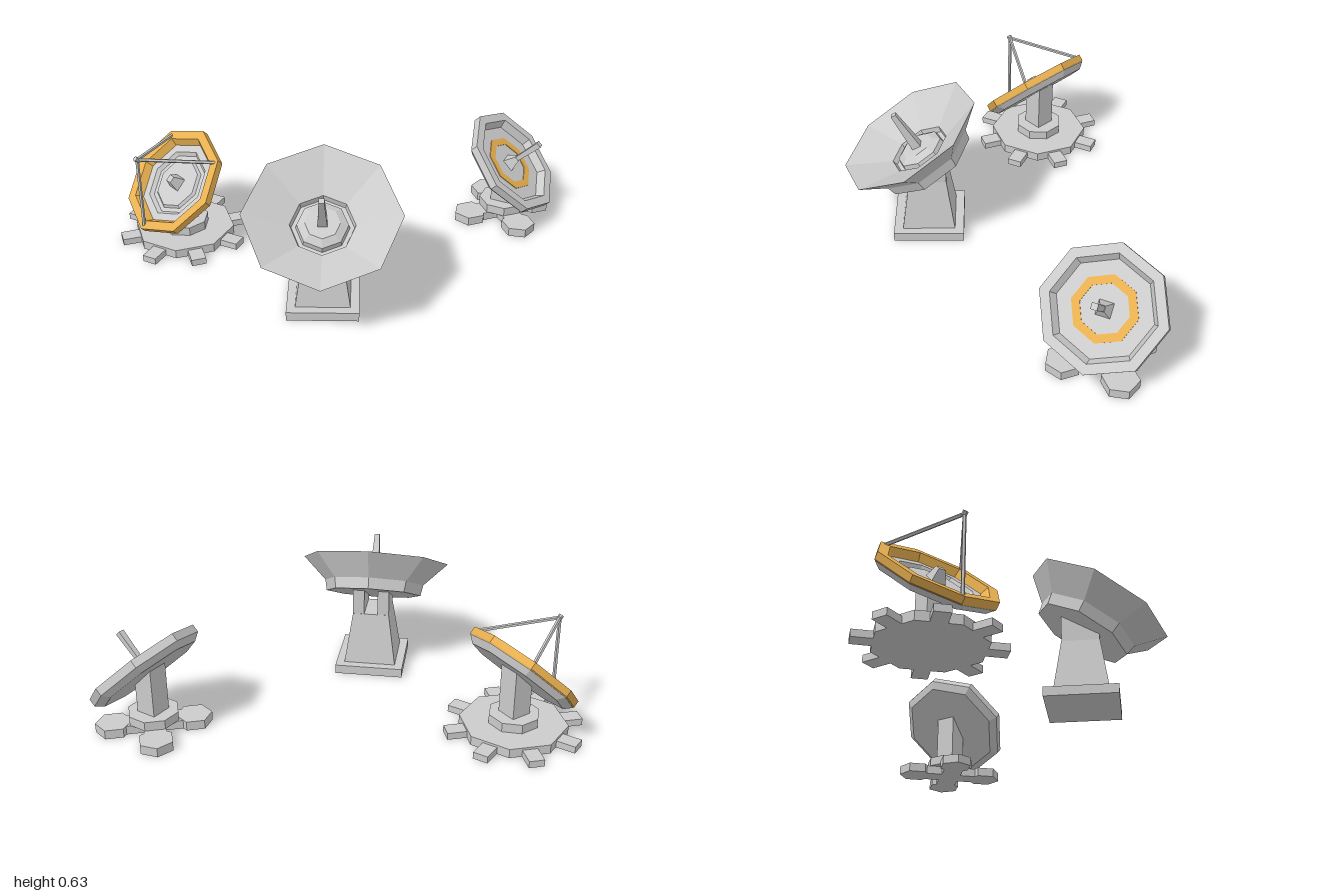
import * as THREE from 'three';

const grey = new THREE.MeshStandardMaterial({ color: 0xcccccc, flatShading: true });
const amber = new THREE.MeshStandardMaterial({ color: 0xe8b050, flatShading: true });

function add(parent, name, geometry, material = grey, x = 0, y = 0, z = 0) {
  const mesh = new THREE.Mesh(geometry, material);
  mesh.name = name;
  mesh.position.set(x, y, z);
  parent.add(mesh);
  return mesh;
}

// Eight-sided turned form from [radius, height] pairs
const octagon = (profile) =>
  new THREE.LatheGeometry(profile.map(([r, y]) => new THREE.Vector2(r, y)), 8);

// Square tapered block standing on y = 0, given half widths
const taper = (top, bottom, height) =>
  new THREE.CylinderGeometry(top * Math.SQRT2, bottom * Math.SQRT2, height, 4)
    .rotateY(Math.PI / 4).translate(0, height / 2, 0);

// Upright block with a slanted top that meets the back of a tilted dish
function wedge(halfDepth, width, bottom, rearTop, frontTop) {
  const shape = new THREE.Shape([
    new THREE.Vector2(-halfDepth, bottom), new THREE.Vector2(halfDepth, bottom),
    new THREE.Vector2(halfDepth, frontTop), new THREE.Vector2(-halfDepth, rearTop),
  ]);
  return new THREE.ExtrudeGeometry(shape, { depth: width, bevelEnabled: false })
    .translate(0, 0, -width / 2).rotateY(-Math.PI / 2);
}

function rod(parent, name, from, to, radius) {
  const dir = to.clone().sub(from);
  const mesh = add(parent, name, new THREE.CylinderGeometry(radius, radius, dir.length(), 5));
  mesh.position.copy(from).addScaledVector(dir, 0.5);
  mesh.quaternion.setFromUnitVectors(new THREE.Vector3(0, 1, 0), dir.normalize());
}

// Station whose dish faces local +z, turned to a heading in the x-z plane
function station(name, x, z, heading) {
  const group = new THREE.Group();
  group.name = name;
  group.position.set(x, 0, z);
  group.rotation.y = Math.PI / 2 - THREE.MathUtils.degToRad(heading);
  return group;
}

function dishGroup(parent, y, z, tilt) {
  const group = new THREE.Group();
  group.name = 'dish';
  group.position.set(0, y, z);
  group.rotation.x = THREE.MathUtils.degToRad(tilt);
  parent.add(group);
  return group;
}

// Tall pedestal with a wide conical dish
function centralStation() {
  const s = station('centralStation', -0.065, 0.288, 90);
  add(s, 'plinth', new THREE.BoxGeometry(0.3, 0.04, 0.305), grey, 0, 0.02, 0);
  add(s, 'pedestal', taper(0.08, 0.114, 0.23), grey, 0, 0.04, 0);
  for (const side of [-1, 1])
    add(s, 'forkArm', wedge(0.079, 0.05, 0.265, 0.39, 0.298), grey, side * 0.055, 0, 0);

  const d = dishGroup(s, 0.465, 0.077, 30);
  add(d, 'bowl', octagon([
    [0, -0.148], [0.212, -0.148], [0.222, -0.1], [0.325, 0],
    [0.134, -0.085], [0.128, -0.11], [0.11, -0.11], [0.105, -0.085], [0.072, -0.065], [0, -0.065],
  ]));
  add(d, 'feedHorn', taper(0.011, 0.02, 0.183), grey, 0, -0.065, 0);
  return s;
}

// Tier and slanted post shared by the two small stations
function smallMount(s) {
  add(s, 'tier', new THREE.CylinderGeometry(0.108, 0.108, 0.04, 8).rotateY(Math.PI / 8), grey, 0, 0.06, 0);
  add(s, 'post', wedge(0.045, 0.09, 0.08, 0.295, 0.21));
}

// Small dish on a base with four hexagonal pads
function rightStation() {
  const s = station('padStation', 0.758, -0.415, 25);
  for (let i = 0; i < 4; i++) {
    const arm = new THREE.Group();
    arm.name = 'padArm';
    arm.rotation.y = Math.PI / 4 + i * Math.PI / 2;
    add(arm, 'arm', new THREE.BoxGeometry(0.09, 0.038, 0.17), grey, 0, 0.019, 0.085);
    add(arm, 'pad', new THREE.CylinderGeometry(0.075, 0.075, 0.04, 6), grey, 0, 0.02, 0.165);
    s.add(arm);
  }
  smallMount(s);

  const d = dishGroup(s, 0.29, 0.042, 45);
  add(d, 'bowl', octagon([
    [0, -0.06], [0.225, -0.06], [0.257, -0.035], [0.257, 0],
    [0.215, 0], [0.195, -0.034], [0, -0.034],
  ]));
  add(d, 'colouredRing', octagon([[0.135, -0.034], [0.135, -0.031], [0.1, -0.031], [0.1, -0.034]]), amber);
  add(d, 'feedBase', taper(0.012, 0.03, 0.05), grey, 0, -0.034, 0);
  add(d, 'feedHorn', taper(0.013, 0.01, 0.14), grey, 0, 0.01, 0);
  return s;
}

// Small dish with a coloured rim and a tripod, on a base with eight feet
function leftStation() {
  const s = station('tripodStation', -0.716, -0.22, 138);
  add(s, 'basePlate', new THREE.CylinderGeometry(0.225, 0.225, 0.04, 8), grey, 0, 0.02, 0);
  for (let i = 0; i < 8; i++) {
    const foot = add(s, 'foot', new THREE.BoxGeometry(0.065, 0.03, 0.12)
      .translate(0, 0.015, 0.23));
    foot.rotation.y = (i + 0.5) * Math.PI / 4;
  }
  smallMount(s);

  const d = dishGroup(s, 0.29, 0.048, 45);
  add(d, 'bowl', octagon([
    [0, -0.062], [0.225, -0.062], [0.254, -0.035], [0.254, -0.02], [0.195, -0.033],
    [0.16, -0.033], [0.145, -0.048], [0.125, -0.048], [0.115, -0.036], [0, -0.036],
  ]));
  add(d, 'colouredRim', octagon([
    [0.195, -0.034], [0.254, -0.034], [0.257, -0.03], [0.257, 0], [0.215, 0], [0.195, -0.034],
  ]), amber);
  add(d, 'receiver', taper(0.015, 0.03, 0.05), grey, 0, -0.036, 0);

  // Tripod legs meet above the middle of the dish
  const apex = new THREE.Vector3(0, 0.232, 0);
  for (const angle of [45, 135, 270]) {
    const a = THREE.MathUtils.degToRad(angle);
    rod(d, 'tripodLeg', new THREE.Vector3(0.237 * Math.cos(a), -0.005, -0.237 * Math.sin(a)), apex, 0.008);
  }
  add(d, 'tripodTip', new THREE.CylinderGeometry(0.011, 0.011, 0.024, 6), grey, 0, 0.232, 0);
  return s;
}

export function createModel() {
  const model = new THREE.Group();
  model.name = 'dishArray';
  model.add(centralStation(), rightStation(), leftStation());
  return model;
}
